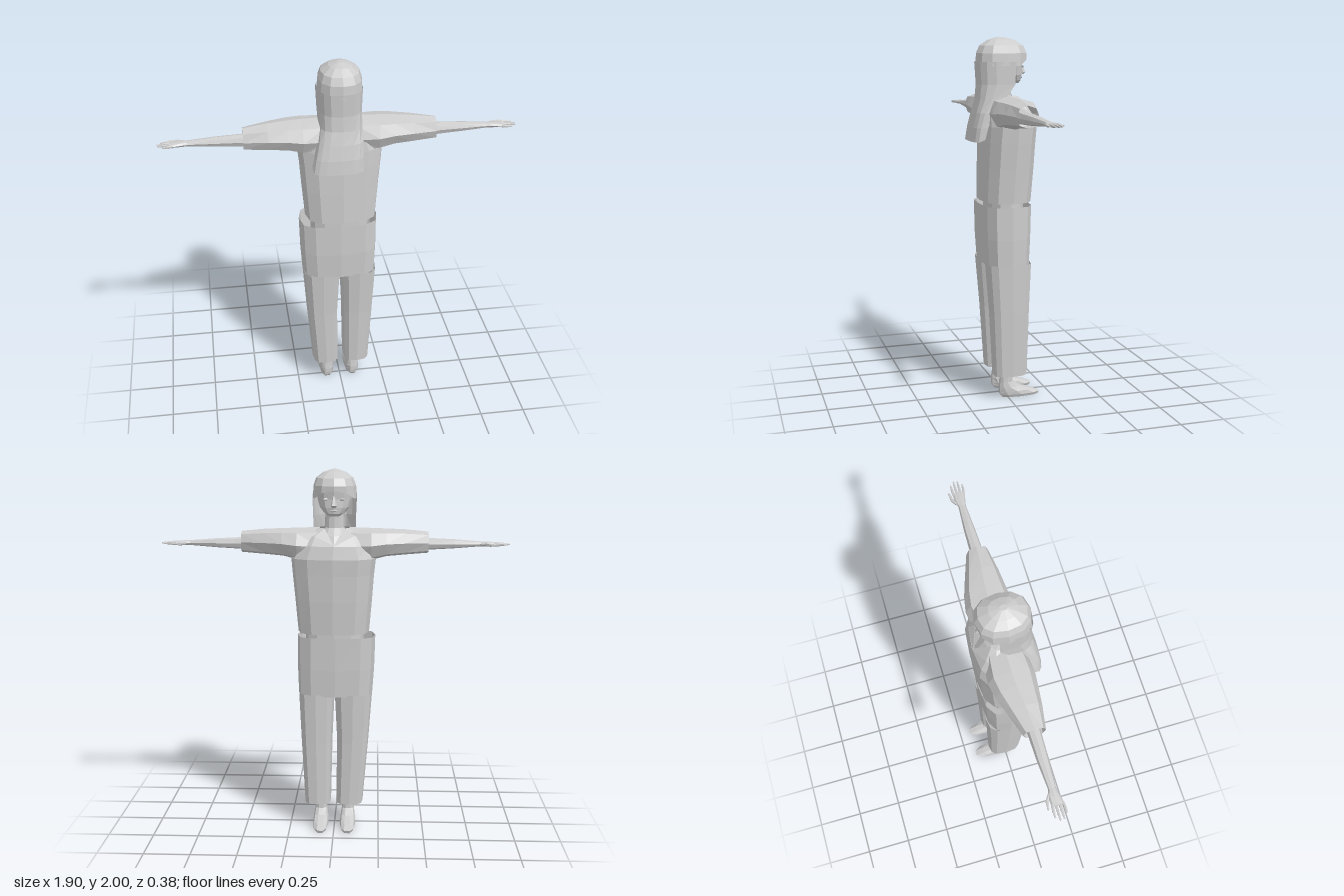
import * as THREE from 'three';

const clay = new THREE.MeshStandardMaterial({ color: 0xcccccc, side: THREE.DoubleSide });
clay.name = 'light grey';

// Joins successive rings of points with flat-shaded faces; caps are fans to the ring centre.
function loft(rings, { closed = true, start = false, end = false } = {}) {
  const pos = [];
  const tri = (a, b, c) => pos.push(...a, ...b, ...c);
  const n = rings[0].length;
  const mid = r => [0, 1, 2].map(k => r.reduce((s, p) => s + p[k], 0) / n);
  const spans = closed ? n : n - 1;
  for (let i = 0; i < rings.length - 1; i++) {
    for (let j = 0; j < spans; j++) {
      const k = (j + 1) % n, a = rings[i], b = rings[i + 1];
      tri(a[j], b[j], a[k]);
      tri(a[k], b[j], b[k]);
    }
  }
  const first = rings[0], last = rings[rings.length - 1];
  for (let j = 0; j < n; j++) {
    const k = (j + 1) % n;
    if (start) tri(mid(first), first[j], first[k]);
    if (end) tri(mid(last), last[k], last[j]);
  }
  const g = new THREE.BufferGeometry();
  g.setAttribute('position', new THREE.Float32BufferAttribute(pos, 3));
  g.computeVertexNormals();
  return g;
}

const power = (v, p) => Math.sign(v) * Math.abs(v) ** p;

// Horizontal ring from [y, xMin, xMax, zMin, zMax].
function ringY([y, x0, x1, z0, z1], n = 12, p = 0.8) {
  return Array.from({ length: n }, (_, j) => {
    const a = j / n * Math.PI * 2;
    return [(x0 + x1) / 2 + (x1 - x0) / 2 * power(Math.cos(a), p), y,
      (z0 + z1) / 2 + (z1 - z0) / 2 * power(Math.sin(a), p)];
  });
}

// Ring across the arm from [x, yMin, yMax, zMin, zMax].
function ringX([x, y0, y1, z0, z1], n = 8, p = 0.85) {
  return Array.from({ length: n }, (_, j) => {
    const a = j / n * Math.PI * 2;
    return [x, (y0 + y1) / 2 + (y1 - y0) / 2 * power(Math.cos(a), p),
      (z0 + z1) / 2 - (z1 - z0) / 2 * power(Math.sin(a), p)];
  });
}

export function createModel() {
  const model = new THREE.Group();
  const add = (name, geometry, parent = model) => {
    const m = new THREE.Mesh(geometry, clay);
    m.name = name;
    parent.add(m);
    return m;
  };
  const stack = (rows, n, p) => rows.map(r => ringY(r, n, p));

  // Shirt body, with the front of the neckline pulled down to a V
  const shirt = stack([
    [1.12, -0.19, 0.2, -0.135, 0.135],
    [1.3, -0.205, 0.215, -0.148, 0.13],
    [1.44, -0.215, 0.228, -0.155, 0.125],
    [1.53, -0.225, 0.235, -0.162, 0.12],
    [1.6, -0.2, 0.2, -0.148, 0.115],
    [1.65, -0.17, 0.17, -0.115, 0.105],
    [1.69, -0.085, 0.085, -0.07, 0.07],
  ], 12, 0.75);
  shirt[6][9] = [0, 1.605, -0.143];
  shirt[5][9] = [0, 1.6, -0.146];
  add('shirt', loft(shirt));

  // Waist seen between shirt and trousers
  add('waist', loft(stack([
    [1.0, -0.16, 0.16, -0.1, 0.1],
    [1.25, -0.16, 0.16, -0.1, 0.1],
  ])));

  // Trousers: hips and two tapering legs
  add('trouserHips', loft(stack([
    [0.77, -0.21, 0.2, -0.123, 0.126],
    [0.92, -0.22, 0.205, -0.13, 0.135],
    [1.1, -0.225, 0.205, -0.135, 0.138],
  ], 12, 0.65)));
  for (const s of [-1, 1]) {
    const outer = s < 0 ? [0.16, 0.19, 0.21] : [0.168, 0.187, 0.2];
    const inner = s < 0 ? [0.01, 0.014, 0] : [0.02, 0.012, 0];
    const rows = [[0.14, -0.105, 0.085], [0.5, -0.113, 0.104], [0.78, -0.123, 0.126]];
    add(s < 0 ? 'rightTrouserLeg' : 'leftTrouserLeg', loft(rows.map(([y, z0, z1], i) => {
      const xs = [s * inner[i], s * outer[i]].sort((a, b) => a - b);
      return ringY([y, ...xs, z0, z1], 12, 0.65);
    })));
  }

  for (const side of [1, -1]) {
    const limb = new THREE.Group();
    limb.name = side > 0 ? 'leftLimbs' : 'rightLimbs';
    limb.scale.x = side;
    model.add(limb);

    // Foot and lower leg
    add('footAndLeg', loft(stack([
      [0, 0.04, 0.112, -0.185, 0.035],
      [0.015, 0.033, 0.119, -0.192, 0.045],
      [0.035, 0.033, 0.119, -0.145, 0.048],
      [0.06, 0.037, 0.115, -0.07, 0.047],
      [0.09, 0.042, 0.11, -0.033, 0.042],
      [0.16, 0.045, 0.108, -0.03, 0.035],
      [0.6, 0.035, 0.13, -0.06, 0.05],
    ], 10, 0.85), { start: true }), limb);

    // Sleeve, open at the cuff
    add('sleeve', loft([
      [0.08, 1.5, 1.692, -0.11, 0.105],
      [0.2, 1.515, 1.688, -0.125, 0.118],
      [0.28, 1.535, 1.685, -0.11, 0.11],
      [0.38, 1.543, 1.68, -0.078, 0.1],
      [0.507, 1.552, 1.667, -0.035, 0.08],
    ].map(r => ringX(r))), limb);

    // Arm and palm
    add('arm', loft([
      [0.3, 1.56, 1.65, -0.04, 0.07],
      [0.5, 1.568, 1.633, -0.012, 0.056],
      [0.65, 1.577, 1.626, -0.008, 0.05],
      [0.79, 1.588, 1.615, 0.002, 0.042],
      [0.83, 1.589, 1.614, -0.008, 0.05],
      [0.875, 1.592, 1.611, -0.008, 0.058],
    ].map(r => ringX(r)), { end: true }), limb);

    // Four fingers and a thumb
    const digits = [[-0.001, -0.004, 0.93], [0.016, 0.016, 0.948], [0.034, 0.036, 0.945], [0.051, 0.056, 0.92]];
    for (const [z0, z1, tip] of digits) {
      add('finger', loft([
        [0.865, 1.593, 1.61, z0 - 0.0075, z0 + 0.0075],
        [(0.865 + tip) / 2, 1.593, 1.608, z1 - 0.007, z1 + 0.007],
        [tip, 1.596, 1.603, z1 - 0.004, z1 + 0.004],
      ].map(r => ringX(r, 6)), { end: true }), limb);
    }
    add('thumb', loft([
      [0.81, 1.591, 1.611, -0.008, 0.012],
      [0.84, 1.59, 1.607, -0.027, -0.009],
      [0.885, 1.594, 1.603, -0.03, -0.02],
    ].map(r => ringX(r, 6)), { end: true }), limb);
  }

  // Neck flaring into the upper chest
  add('neck', loft(stack([
    [1.57, -0.1, 0.1, -0.135, 0.07],
    [1.65, -0.075, 0.075, -0.085, 0.065],
    [1.69, -0.053, 0.053, -0.045, 0.06],
    [1.79, -0.05, 0.05, -0.042, 0.065],
  ], 12, 0.9)));

  // Head
  add('head', loft(stack([
    [1.755, -0.03, 0.03, -0.088, -0.01],
    [1.77, -0.055, 0.055, -0.1, 0.05],
    [1.8, -0.08, 0.08, -0.104, 0.1],
    [1.845, -0.093, 0.093, -0.102, 0.12],
    [1.91, -0.098, 0.098, -0.112, 0.125],
  ], 12, 0.85), { start: true, end: true }));

  // Nose
  add('nose', loft(stack([
    [1.803, -0.014, 0.014, -0.115, -0.095],
    [1.812, -0.016, 0.016, -0.128, -0.095],
    [1.86, -0.006, 0.006, -0.106, -0.09],
  ], 6), { start: true, end: true }));

  // Lips and eyes as shallow raised plates
  const lips = add('lips', new THREE.SphereGeometry(1, 8, 4));
  lips.scale.set(0.022, 0.006, 0.006);
  lips.position.set(0, 1.786, -0.102);
  for (const s of [-1, 1]) {
    const eye = add(s > 0 ? 'leftEye' : 'rightEye', new THREE.SphereGeometry(1, 8, 4));
    eye.scale.set(0.018, 0.008, 0.004);
    eye.position.set(s * 0.042, 1.845, -0.095);
    eye.rotation.y = s * 0.35;
  }

  // Hair crown with a fringe that arches over the brow
  const crown = stack([
    [1.86, -0.121, 0.118, -0.128, 0.152],
    [1.915, -0.115, 0.114, -0.13, 0.148],
    [1.955, -0.1, 0.1, -0.112, 0.13],
    [1.985, -0.06, 0.06, -0.06, 0.085],
    [2.0, -0.015, 0.015, -0.005, 0.035],
  ], 12, 0.85);
  crown[0].forEach((p, j) => { p[1] = j === 9 ? 1.89 : j === 8 || j === 10 ? 1.878 : 1.848; });
  add('hairCrown', loft(crown, { end: true }));

  // Long hair: U-shaped sections from bottom to top, leaning towards the right
  const drape = [
    [1.445, -0.16, 0.11, 0.13, 0.19],
    [1.52, -0.147, 0.112, 0.115, 0.182],
    [1.6, -0.128, 0.113, 0.085, 0.166],
    [1.67, -0.115, 0.114, 0.02, 0.15],
    [1.75, -0.116, 0.114, -0.035, 0.144],
    [1.87, -0.121, 0.118, -0.04, 0.152],
  ].map(([y, x0, x1, z0, z1]) => Array.from({ length: 9 }, (_, j) => {
    const a = j / 8 * Math.PI;
    return [(x0 + x1) / 2 + (x1 - x0) / 2 * power(Math.cos(a), 0.7), y,
      z0 + (z1 - z0) * power(Math.sin(a), 0.6)];
  }));
  drape[0].forEach((p, j) => { p[1] += j === 8 ? 0.025 : j === 0 ? 0.015 : 0; });
  add('longHair', loft(drape, { closed: false, start: true }));

  return model;
}
